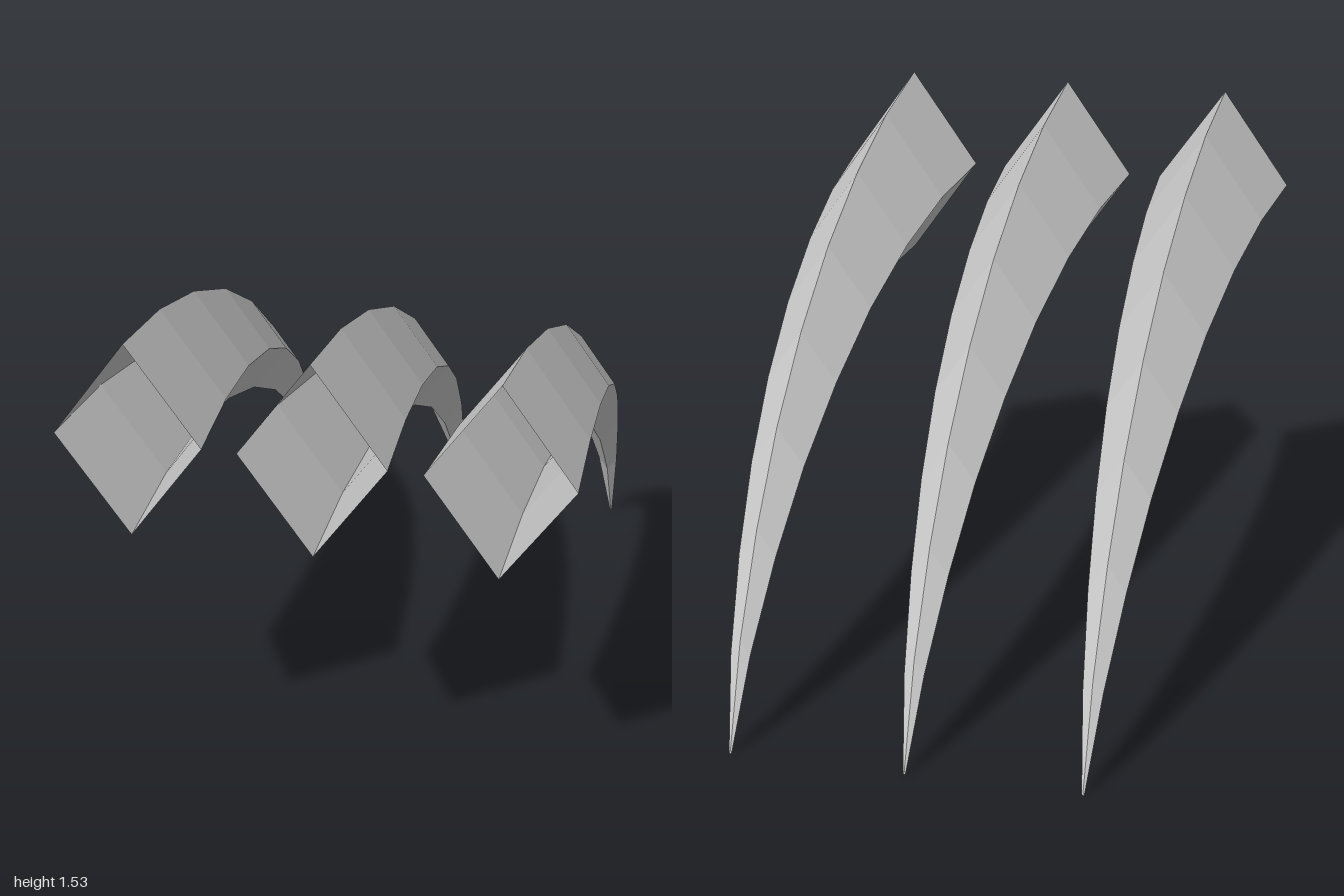
import * as THREE from 'three';

// Spine of one claw, root to tip: [z, centre height, half height of the diamond]
const STATIONS = [
  [1, 1.228, 0.298], [0.666, 1.205, 0.262], [0.34, 1.14, 0.225],
  [0.023, 1.032, 0.188], [-0.26, 0.887, 0.152], [-0.508, 0.71, 0.115],
  [-0.715, 0.503, 0.079], [-0.887, 0.265, 0.042], [-1, 0.006, 0.006],
];
const WIDTH_RATIO = 0.706; // diamond width relative to its height
const CORNERS = [[0, 1], [1, 0], [0, -1], [-1, 0]];

// Hollow curved claw: diamond sections joined in loops, open at the root
function clawGeometry() {
  const positions = [];
  const index = [];
  for (const [z, y, h] of STATIONS) {
    for (const [cx, cy] of CORNERS) positions.push(cx * h * WIDTH_RATIO, y + cy * h, z);
  }
  for (let i = 0; i < STATIONS.length - 1; i++) {
    for (let j = 0; j < 4; j++) {
      const a = i * 4 + j;
      const b = i * 4 + ((j + 1) % 4);
      index.push(a, b, a + 4, b, b + 4, a + 4);
    }
  }
  // Tiny cap at the tip
  const t = (STATIONS.length - 1) * 4;
  index.push(t, t + 1, t + 2, t, t + 2, t + 3);

  const geometry = new THREE.BufferGeometry();
  geometry.setAttribute('position', new THREE.Float32BufferAttribute(positions, 3));
  geometry.setIndex(index);
  const flat = geometry.toNonIndexed();
  flat.computeVertexNormals();
  return flat;
}

export function createModel() {
  const group = new THREE.Group();
  group.name = 'claws';
  const material = new THREE.MeshStandardMaterial({
    color: 0xcccccc, flatShading: true, side: THREE.DoubleSide,
  });
  const geometry = clawGeometry();

  // Three identical claws side by side
  ['rightClaw', 'middleClaw', 'leftClaw'].forEach((name, i) => {
    const claw = new THREE.Mesh(geometry, material);
    claw.name = name;
    claw.position.x = (i - 1) * 0.52;
    group.add(claw);
  });
  return group;
}
